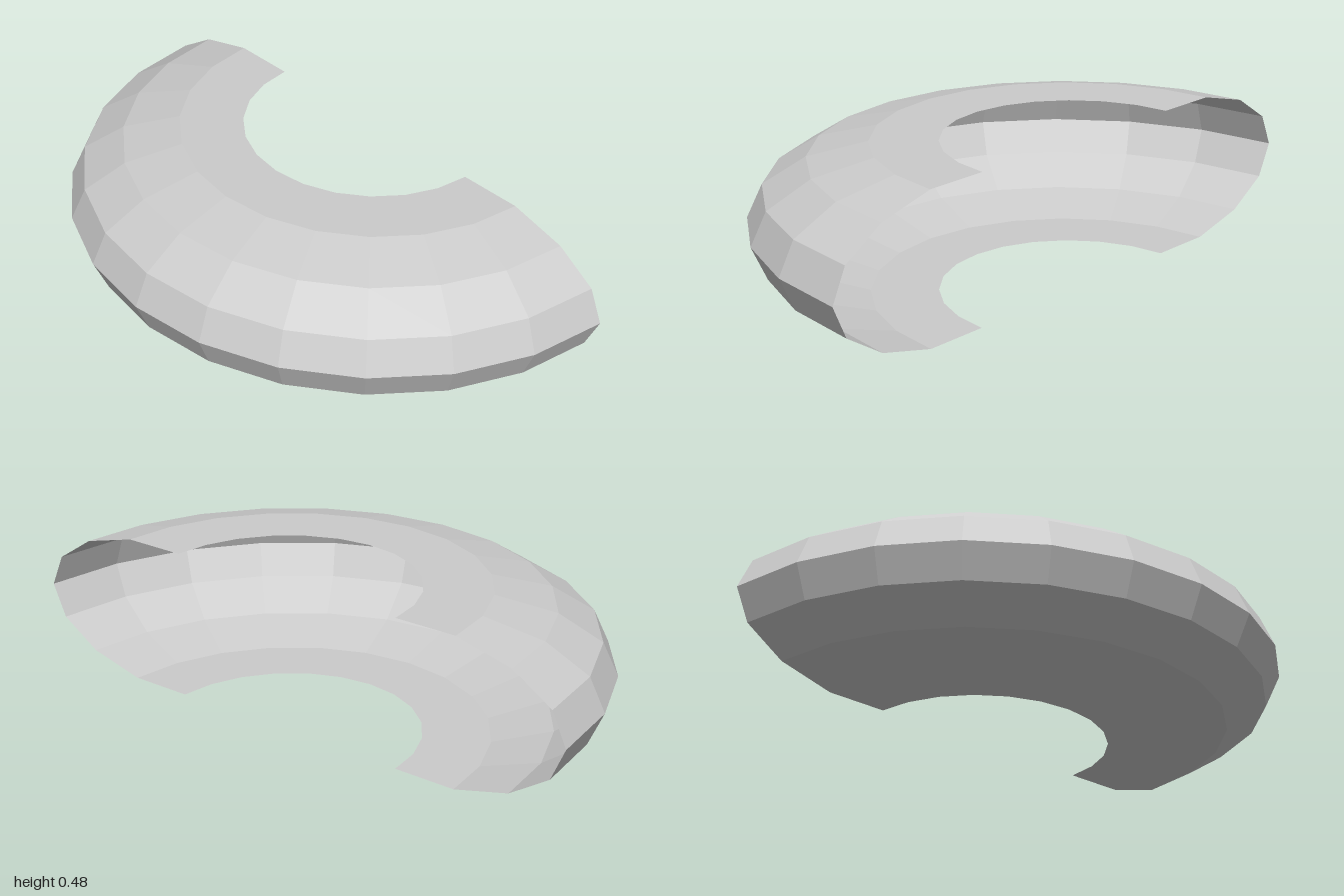
import * as THREE from 'three';

export function createModel() {
  const group = new THREE.Group();
  group.name = 'halfRing';

  // Cross-section (radius, height) from the lower inner rim round to the upper one
  const profile = [
    [0.42, 0], [0.63, 0], [0.818, 0.048], [0.952, 0.134], [1, 0.24],
    [0.952, 0.346], [0.818, 0.432], [0.63, 0.48], [0.42, 0.48],
  ].map(([r, y]) => new THREE.Vector2(r, y));

  // Thin open shell swept half a turn around the middle of the back edge
  const geometry = new THREE.LatheGeometry(profile, 12, -Math.PI / 2, Math.PI);
  const material = new THREE.MeshStandardMaterial({
    color: 0xcccccc, flatShading: true, side: THREE.DoubleSide,
  });
  const shell = new THREE.Mesh(geometry, material);
  shell.name = 'curvedShell';
  shell.position.z = -0.5;
  group.add(shell);

  return group;
}
